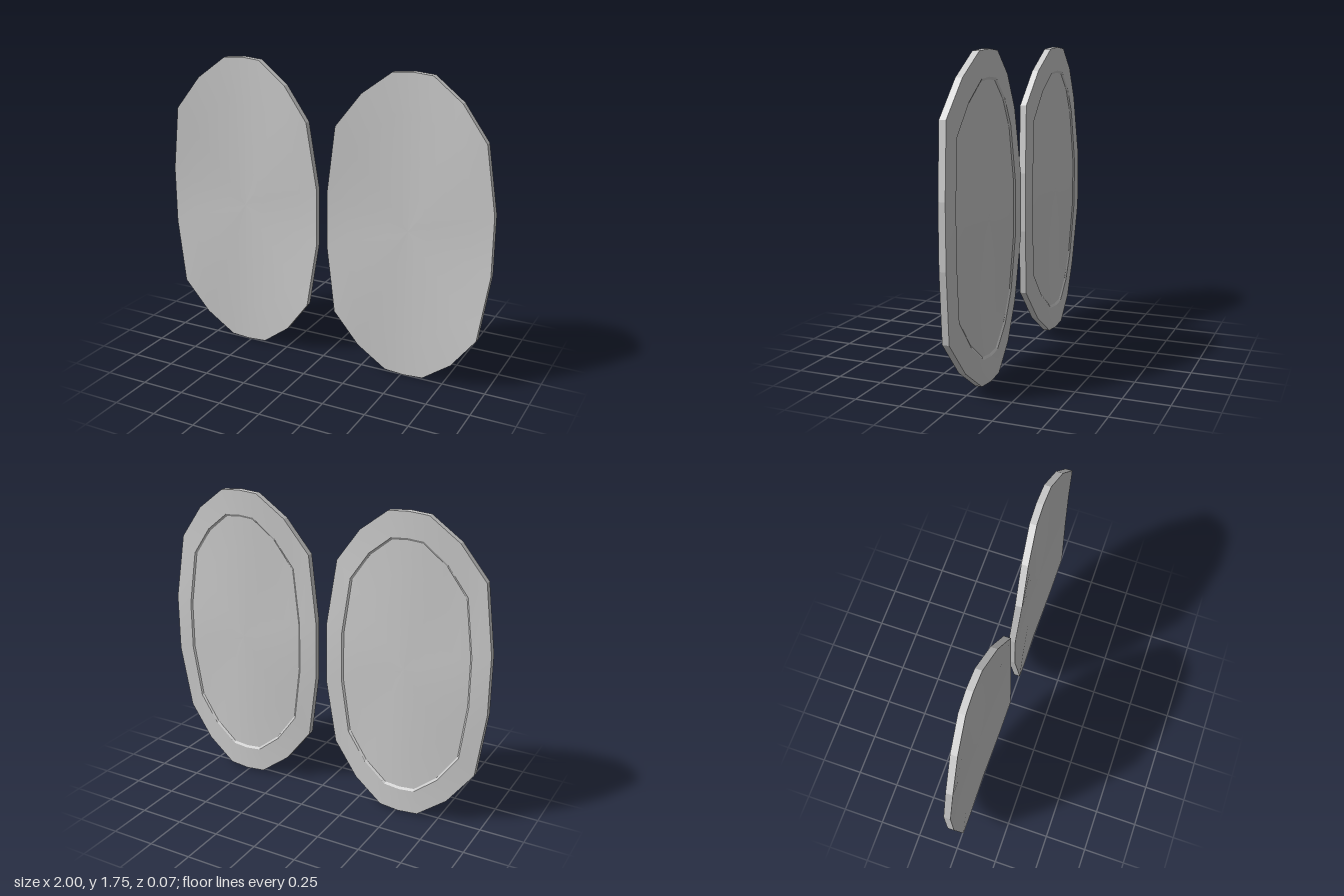
import * as THREE from 'three';

// One quarter of the oval outline: x, y and how far the edge curls forward
const QUARTER = [
  [0.483, 0.168, 0.02], [0.428, 0.548, 0.036], [0.283, 0.738, 0.018], [0.115, 0.863, 0.003],
];
const TOP = [0, 0.8725, 0];
const THICK = 0.038;

// Full outline, counter-clockwise seen from the front
function outline() {
  const flip = (list, sx, sy) => list.map(([x, y, e]) => [x * sx, y * sy, e]);
  const back = [...QUARTER].reverse();
  return [
    ...QUARTER, TOP, ...flip(back, -1, 1),
    ...flip(QUARTER, -1, -1), ...flip([TOP], 1, -1), ...flip(back, 1, -1),
  ];
}

// Scaled copy of the outline lying on the curved surface
function ring(sx, sy, z) {
  return outline().map(([x, y, e]) => [x * sx, y * sy, z + e * sx * sx]);
}

// Surface stretched over a series of rings
function skin(name, rings, material, flat = false) {
  const n = rings[0].length;
  const index = [];
  for (let i = 0; i < rings.length - 1; i++) {
    for (let j = 0; j < n; j++) {
      const k = (j + 1) % n;
      const a = i * n + j, b = a + n, c = (i + 1) * n + k, d = i * n + k;
      index.push(a, b, c, a, c, d);
    }
  }
  let geometry = new THREE.BufferGeometry();
  geometry.setAttribute('position', new THREE.Float32BufferAttribute(rings.flat(2), 3));
  geometry.setIndex(index);
  if (flat) geometry = geometry.toNonIndexed();
  geometry.computeVertexNormals();
  const mesh = new THREE.Mesh(geometry, material);
  mesh.name = name;
  return mesh;
}

function createPanel(name, material) {
  const panel = new THREE.Group();
  panel.name = name;
  const back = -THICK, recess = -THICK + 0.008;
  const steps = [0.001, 0.25, 0.5, 0.75, 1];

  // Gently hollowed front face
  panel.add(skin('frontFace', steps.map((s) => ring(s, s, 0)), material));
  // Faceted outer edge
  panel.add(skin('outerEdge', [ring(1, 1, 0), ring(1, 1, back)], material, true));
  // Back rim, bevelled step and recessed middle
  panel.add(skin('backRim', [ring(1, 1, back), ring(0.79, 0.84, back)], material));
  panel.add(skin('rimStep', [ring(0.79, 0.84, back), ring(0.77, 0.825, recess)], material, true));
  const inner = [...steps].reverse().map((s) => ring(0.77 * s, 0.825 * s, recess));
  panel.add(skin('backFace', inner, material));
  return panel;
}

export function createModel() {
  const model = new THREE.Group();
  model.name = 'ovalPanels';
  const material = new THREE.MeshStandardMaterial({ color: 0xcccccc });
  for (const [name, side] of [['leftPanel', 1], ['rightPanel', -1]]) {
    const panel = createPanel(name, material);
    panel.position.set(side * 0.517, 0.8725, 0.001);
    model.add(panel);
  }
  return model;
}
